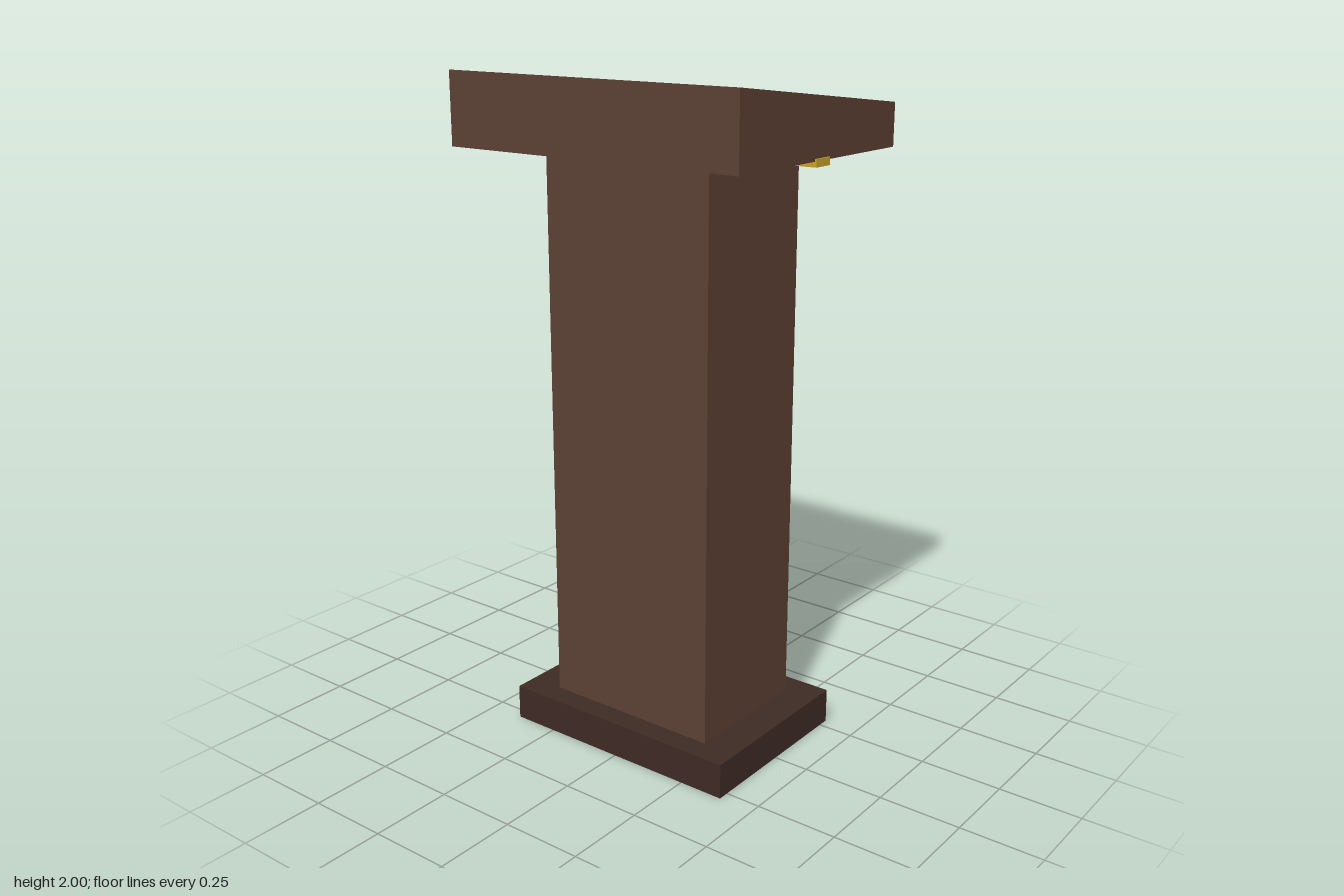
import * as THREE from 'three';

export function createModel() {
  const group = new THREE.Group();
  const wood = new THREE.MeshStandardMaterial({ color: 0x5c4033 });
  const darkWood = new THREE.MeshStandardMaterial({ color: 0x3e2a25 });
  const gold = new THREE.MeshStandardMaterial({ color: 0xc9a227 });

  const add = (name, geometry, material) => {
    const mesh = new THREE.Mesh(geometry, material);
    mesh.name = name;
    group.add(mesh);
    return mesh;
  };
  // Box centred on x and z, spanning y0 to y1
  const box = (name, w, d, y0, y1, material) => {
    add(name, new THREE.BoxGeometry(w, y1 - y0, d), material).position.y = (y0 + y1) / 2;
  };

  box('base', 0.78, 0.568, 0, 0.107, darkWood);
  box('post', 0.566, 0.426, 0.107, 1.79, wood);
  box('trimBar', 0.99, 0.066, 1.775, 1.797, gold);

  // Slanted desk: side profile (z, y), high at the front, extruded across x
  const width = 0.98;
  const profile = new THREE.Shape([
    [-0.374, 1.79], [0.374, 1.79], [0.374, 2], [-0.374, 1.913],
  ].map(([z, y]) => new THREE.Vector2(-z, y)));
  const desk = new THREE.ExtrudeGeometry(profile, { depth: width, bevelEnabled: false });
  desk.translate(0, 0, -width / 2).rotateY(Math.PI / 2);
  add('slantedDesk', desk, wood);

  return group;
}
